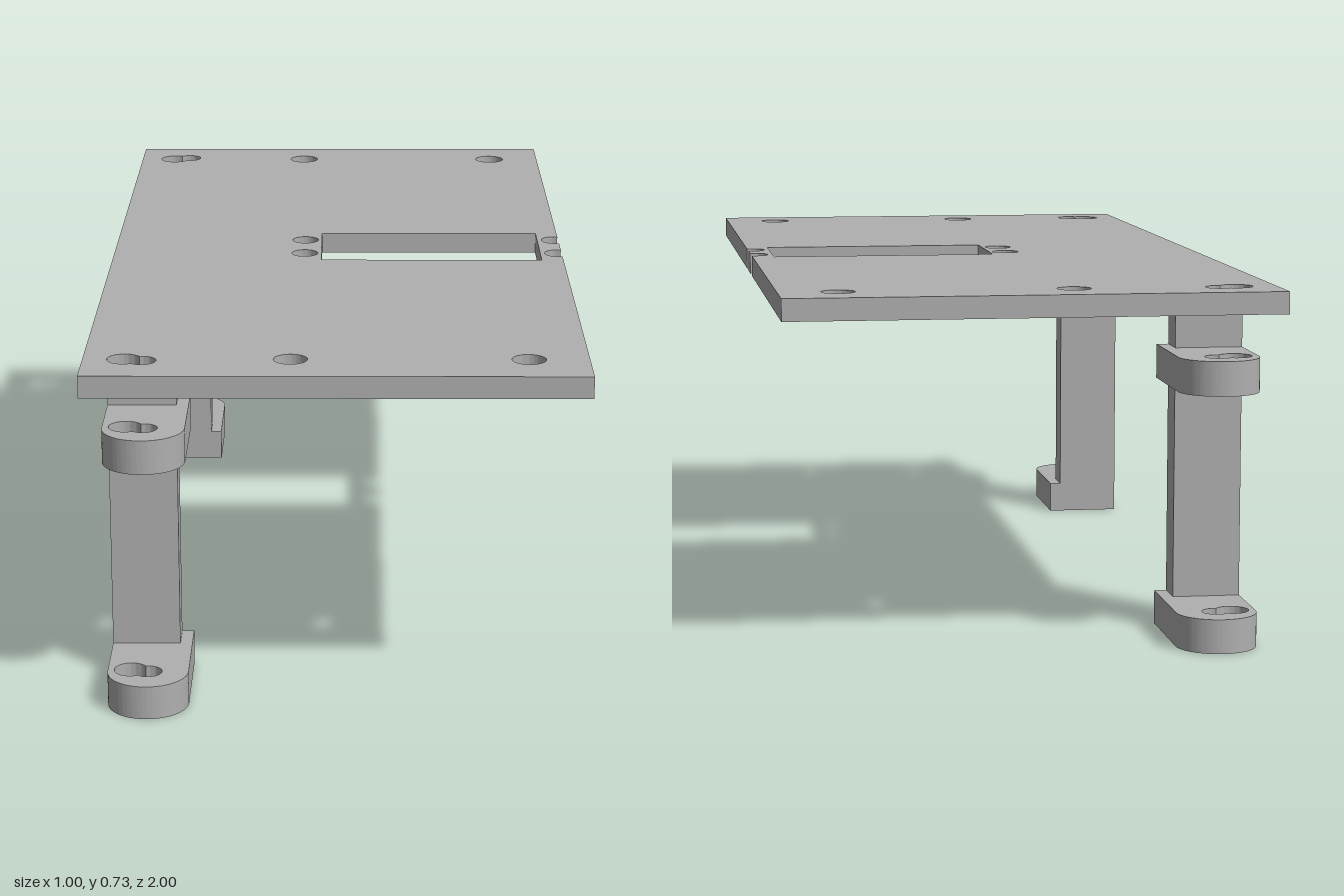
import * as THREE from 'three';
import { toCreasedNormals } from 'three/addons/utils/BufferGeometryUtils.js';

const PLATE_BOTTOM = 0.685, PLATE_TOP = 0.73;

// Extrude a plan drawn as (x, -z) upwards from y0 to y1
function slab(shape, y0, y1) {
  const geo = new THREE.ExtrudeGeometry(shape, { depth: y1 - y0, bevelEnabled: false, curveSegments: 24 });
  geo.rotateX(-Math.PI / 2).translate(0, y0, 0);
  return toCreasedNormals(geo, 0.5);
}

function roundHole(x, y, r) {
  return new THREE.Path().absarc(x, y, r, 0, Math.PI * 2, false);
}

// Two overlapping round holes merged into one outline
function doubleHole(s) {
  const a = { x: -0.418, y: 0.884 * s, r: 0.034 }, b = { x: -0.382, y: 0.894 * s, r: 0.028 };
  const d = Math.hypot(b.x - a.x, b.y - a.y), phi = Math.atan2(b.y - a.y, b.x - a.x);
  const alpha = Math.acos((d * d + a.r * a.r - b.r * b.r) / (2 * d * a.r));
  const beta = Math.acos((d * d + b.r * b.r - a.r * a.r) / (2 * d * b.r));
  const back = phi + Math.PI, turn = Math.PI * 2;
  const path = new THREE.Path();
  path.absarc(a.x, a.y, a.r, phi + alpha, phi - alpha + turn, false);
  path.absarc(b.x, b.y, b.r, back + beta, back - beta + turn, false);
  return path;
}

// Top plate with a window, screw holes and two notches in the +x edge
function plateShape() {
  const shape = new THREE.Shape();
  shape.moveTo(-0.5, -1);
  shape.lineTo(0.5, -1);
  const notchAngle = Math.acos(0.008 / 0.03);
  for (const y of [-0.059, 0.059]) shape.absarc(0.492, y, 0.03, -notchAngle, notchAngle, true);
  shape.lineTo(0.5, 1);
  shape.lineTo(-0.5, 1);
  shape.closePath();

  shape.holes.push(new THREE.Path([
    [-0.037, -0.118], [0.452, -0.118], [0.452, 0.118], [-0.037, 0.118],
  ].map(([x, y]) => new THREE.Vector2(x, y))));
  for (const s of [-1, 1]) {
    shape.holes.push(doubleHole(s), roundHole(-0.09, 0.884 * s, 0.034),
      roundHole(0.38, 0.884 * s, 0.034), roundHole(-0.074, 0.059 * s, 0.029));
  }
  return shape;
}

// Mounting lug with a rounded outer end
function lugShape(s) {
  const shape = new THREE.Shape();
  shape.moveTo(-0.465, 0.672 * s);
  shape.lineTo(-0.3, 0.672 * s);
  shape.absarc(-0.3825, 0.8925 * s, 0.0825, 0, Math.PI * s, s < 0);
  shape.closePath();
  shape.holes.push(doubleHole(s));
  return shape;
}

export function createModel() {
  const model = new THREE.Group();
  model.name = 'mountingBracket';
  const grey = new THREE.MeshStandardMaterial({ color: 0xb0b0b0 });
  grey.name = 'grey';

  const add = (parent, name, geo) => {
    const mesh = new THREE.Mesh(geo, grey);
    mesh.name = name;
    parent.add(mesh);
    return mesh;
  };

  add(model, 'topPlate', slab(plateShape(), PLATE_BOTTOM, PLATE_TOP));

  // One post with two lugs at each end (s = 1 is the back)
  for (const s of [-1, 1]) {
    const leg = new THREE.Group();
    leg.name = s > 0 ? 'backLeg' : 'frontLeg';
    const post = add(leg, 'post', new THREE.BoxGeometry(0.14, PLATE_BOTTOM, 0.07));
    post.position.set(-0.395, PLATE_BOTTOM / 2, -0.707 * s);
    add(leg, 'lowerLug', slab(lugShape(s), 0, 0.07));
    add(leg, 'upperLug', slab(lugShape(s), 0.52, 0.59));
    model.add(leg);
  }
  return model;
}
